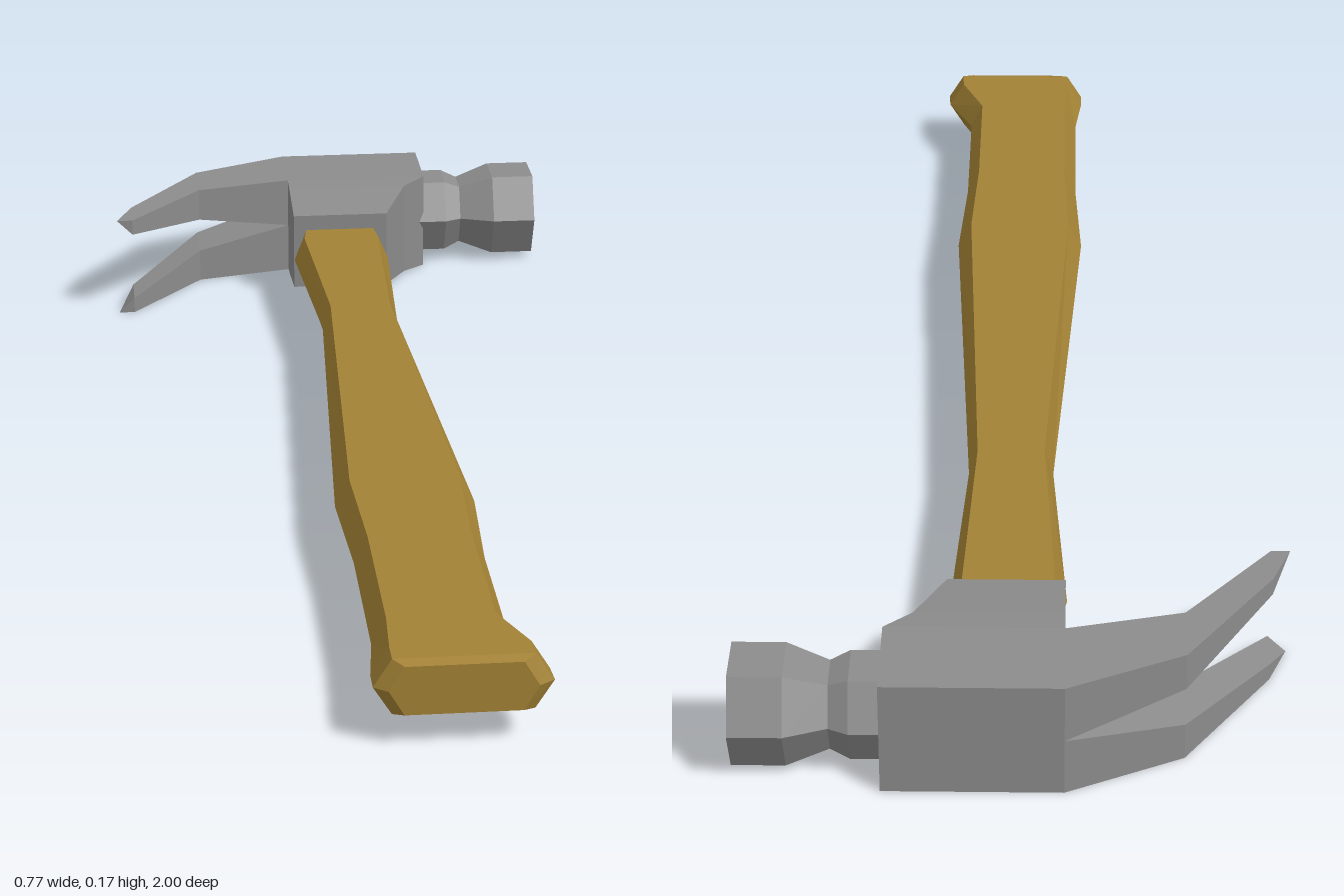
import * as THREE from 'three';

const MID = 0.0865; // height of the centre plane
const HALF = 0.0865; // half thickness of the head

// Flat-shaded solid through equal-length rings of [x, y, z] points, capped at both ends
function loft(rings) {
  const tris = [];
  const n = rings[0].length;
  for (let i = 0; i < rings.length - 1; i++) {
    for (let j = 0; j < n; j++) {
      const k = (j + 1) % n;
      const [a, b, c, d] = [rings[i][j], rings[i][k], rings[i + 1][k], rings[i + 1][j]];
      tris.push([a, b, c], [a, c, d]);
    }
  }
  const first = rings[0], last = rings[rings.length - 1];
  for (let j = 1; j < n - 1; j++) {
    tris.push([first[0], first[j + 1], first[j]], [last[0], last[j], last[j + 1]]);
  }
  // Turn the faces outward if the rings wind the other way
  let volume = 0;
  for (const [a, b, c] of tris) {
    volume += new THREE.Vector3(...a).dot(new THREE.Vector3(...b).cross(new THREE.Vector3(...c)));
  }
  if (volume < 0) tris.forEach((t) => t.reverse());
  const geometry = new THREE.BufferGeometry();
  geometry.setAttribute('position', new THREE.Float32BufferAttribute(tris.flat(2), 3));
  geometry.computeVertexNormals();
  return geometry;
}

export function createModel() {
  const wood = new THREE.MeshStandardMaterial({ color: 0xa38235, flatShading: true });
  wood.name = 'wood';
  const steel = new THREE.MeshStandardMaterial({ color: 0x8c8c8c, flatShading: true });
  steel.name = 'steel';

  const model = new THREE.Group();
  model.name = 'clawHammer';
  const head = new THREE.Group();
  head.name = 'head';
  model.add(head);

  const add = (parent, name, rings, material) => {
    const mesh = new THREE.Mesh(loft(rings), material);
    mesh.name = name;
    parent.add(mesh);
  };

  // Handle: flattened hexagons along z, [z, left edge, right edge, half height]
  const handle = [
    [-0.76, -0.055, 0.082, 0.04],
    [-0.67, -0.072, 0.095, 0.041],
    [-0.33, -0.05, 0.078, 0.041],
    [0.4, -0.092, 0.117, 0.041],
    [0.6, -0.082, 0.107, 0.041],
    [0.86, -0.082, 0.108, 0.041],
    [0.95, -0.092, 0.15, 0.041],
    [0.985, -0.092, 0.152, 0.041],
    [1, -0.072, 0.13, 0.036],
  ].map(([z, x0, x1, h]) => {
    const inset = (x1 - x0) * 0.105;
    return [
      [x0, MID, z], [x0 + inset, MID + h, z], [x1 - inset, MID + h, z],
      [x1, MID, z], [x1 - inset, MID - h, z], [x0 + inset, MID - h, z],
    ];
  });
  add(model, 'handle', handle, wood);

  // Head block with tapered socket: rectangles along z, [z, right edge, half height]
  const block = [
    [-0.715, 0.097, 0.0675],
    [-0.82, 0.14, 0.083],
    [-0.86, 0.18, HALF],
    [-1, 0.18, HALF],
  ].map(([z, x, h]) => [
    [-0.07, MID - h, z], [x, MID - h, z], [x, MID + h, z], [-0.07, MID + h, z],
  ]);
  add(head, 'headBlock', block, steel);

  // Two claw prongs curving down, [x, back z, front z, inner gap, front x]
  const prong = [
    [-0.07, -1, -0.86, 0, -0.07],
    [-0.235, -0.92, -0.82, 0.03, -0.235],
    [-0.36, -0.735, -0.665, 0.06, -0.36],
    [-0.387, -0.665, -0.665, HALF, -0.387],
  ];
  for (const side of [1, -1]) {
    const rings = prong.map(([x, zb, zf, gap, xf]) => [
      [x, MID + side * gap, zb], [x, MID + side * HALF, zb],
      [xf, MID + side * HALF, zf], [xf, MID + side * gap, zf],
    ]);
    add(head, side > 0 ? 'upperClaw' : 'lowerClaw', rings, steel);
  }

  // Striking poll: hexagons along x, [x, half height]
  const poll = [
    [0.17, 0.065],
    [0.222, 0.065],
    [0.25, 0.053],
    [0.31, 0.0735],
    [0.385, 0.0735],
  ].map(([x, h]) => [
    [1.06, 0], [0.56, 1], [-0.56, 1], [-1.06, 0], [-0.56, -1], [0.56, -1],
  ].map(([z, y]) => [x, MID + y * h, -0.921 + z * h]));
  add(head, 'strikingPoll', poll, steel);

  return model;
}
